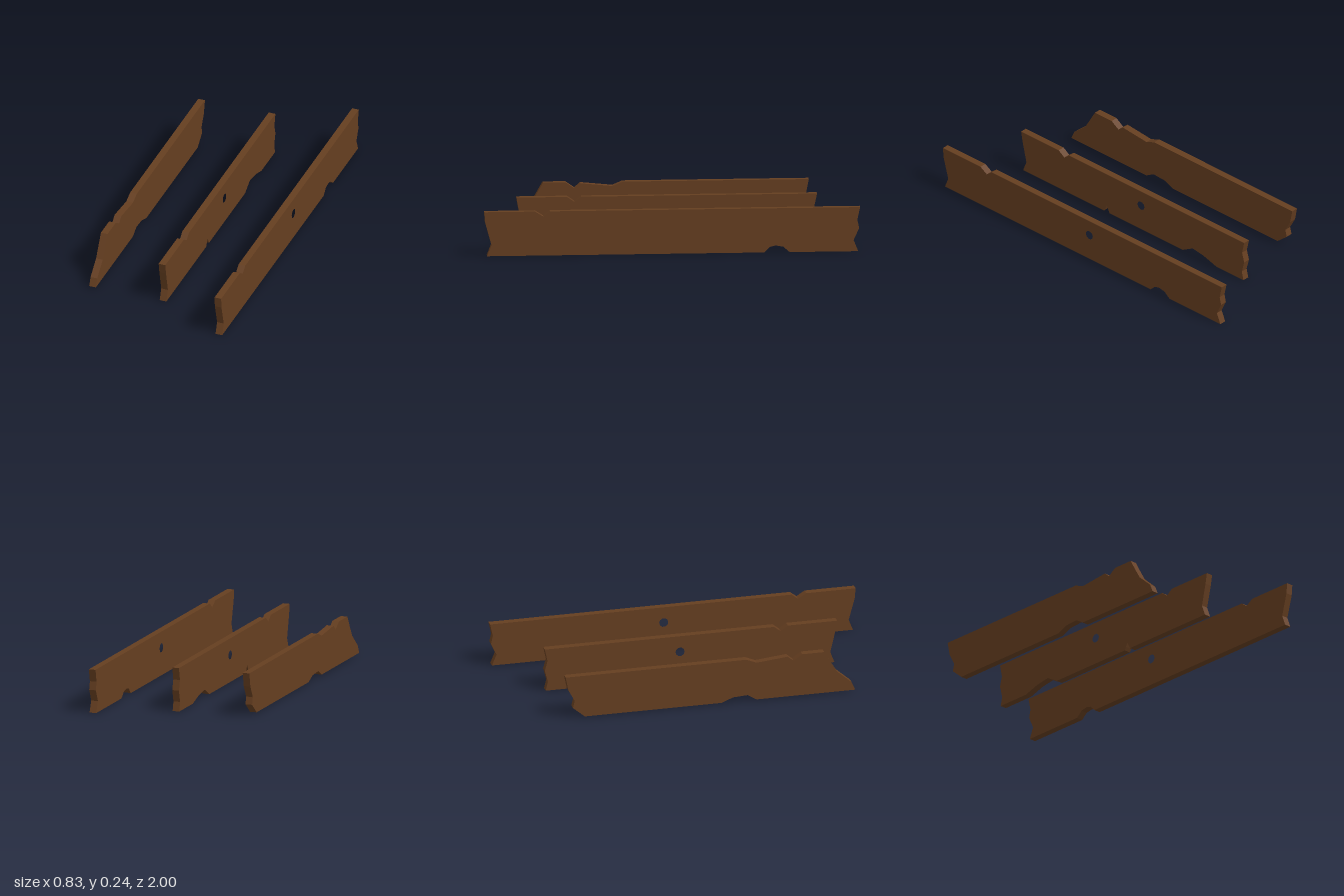
import * as THREE from 'three';

const THICKNESS = 0.038;

// Plank cut from a side outline of [z, y] points, with an optional nail hole
function makePlank(name, x, outline, hole, material) {
  const shape = new THREE.Shape(outline.map(([z, y]) => new THREE.Vector2(-z, y)));
  if (hole) {
    const path = new THREE.Path();
    path.absarc(-hole[0], hole[1], 0.025, 0, Math.PI * 2, true);
    shape.holes.push(path);
  }
  const geometry = new THREE.ExtrudeGeometry(shape, {
    depth: THICKNESS, bevelEnabled: false, curveSegments: 5,
  });
  geometry.rotateY(Math.PI / 2); // outline into the zy plane, thickness along x
  geometry.translate(x - THICKNESS / 2, 0, 0);
  const mesh = new THREE.Mesh(geometry, material);
  mesh.name = name;
  return mesh;
}

export function createModel() {
  const group = new THREE.Group();
  group.name = 'brokenPlanks';
  const wood = new THREE.MeshStandardMaterial({ color: 0x653e20, flatShading: true });

  // Outlines run along the top from front to back, then back along the bottom
  const longOutline = [
    [1, 0.238], [0.73, 0.238], [0.685, 0.21], [0.65, 0.238],
    [-1, 0.238], [-0.985, 0.17], [-0.995, 0.125], [-0.965, 0.06], [-0.99, 0],
    [-0.625, 0], [-0.59, 0.03], [-0.55, 0.037], [-0.52, 0.03], [-0.49, 0],
    [0.985, 0], [0.962, 0.06], [0.995, 0.18],
  ];
  const middleOutline = [
    [0.8, 0.238], [0.53, 0.238], [0.49, 0.21], [0.455, 0.238],
    [-0.8, 0.238], [-0.785, 0.17], [-0.8, 0.115], [-0.783, 0.05], [-0.795, 0],
    [-0.6, 0], [-0.51, 0.028], [-0.43, 0.04], [-0.36, 0],
    [0.165, 0], [0.175, 0.018], [0.185, 0.04], [0.205, 0],
    [0.785, 0], [0.762, 0.06], [0.79, 0.18],
  ];
  const jaggedOutline = [
    [0.63, 0.24], [0.51, 0.24], [0.462, 0.207], [0.43, 0.234], [0.26, 0.217], [0.205, 0.24],
    [-0.785, 0.24], [-0.77, 0.165], [-0.735, 0.1], [-0.745, 0.06], [-0.68, 0.005],
    [0.07, 0.005], [0.13, 0.03], [0.21, 0.035], [0.26, 0.005],
    [0.8, 0.005], [0.78, 0.05], [0.7, 0.12], [0.67, 0.17],
  ];

  group.add(
    makePlank('longPlank', 0.395, longOutline, [-0.05, 0.15], wood),
    makePlank('middlePlank', -0.002, middleOutline, [-0.06, 0.148], wood),
    makePlank('jaggedPlank', -0.398, jaggedOutline, null, wood),
  );
  return group;
}
